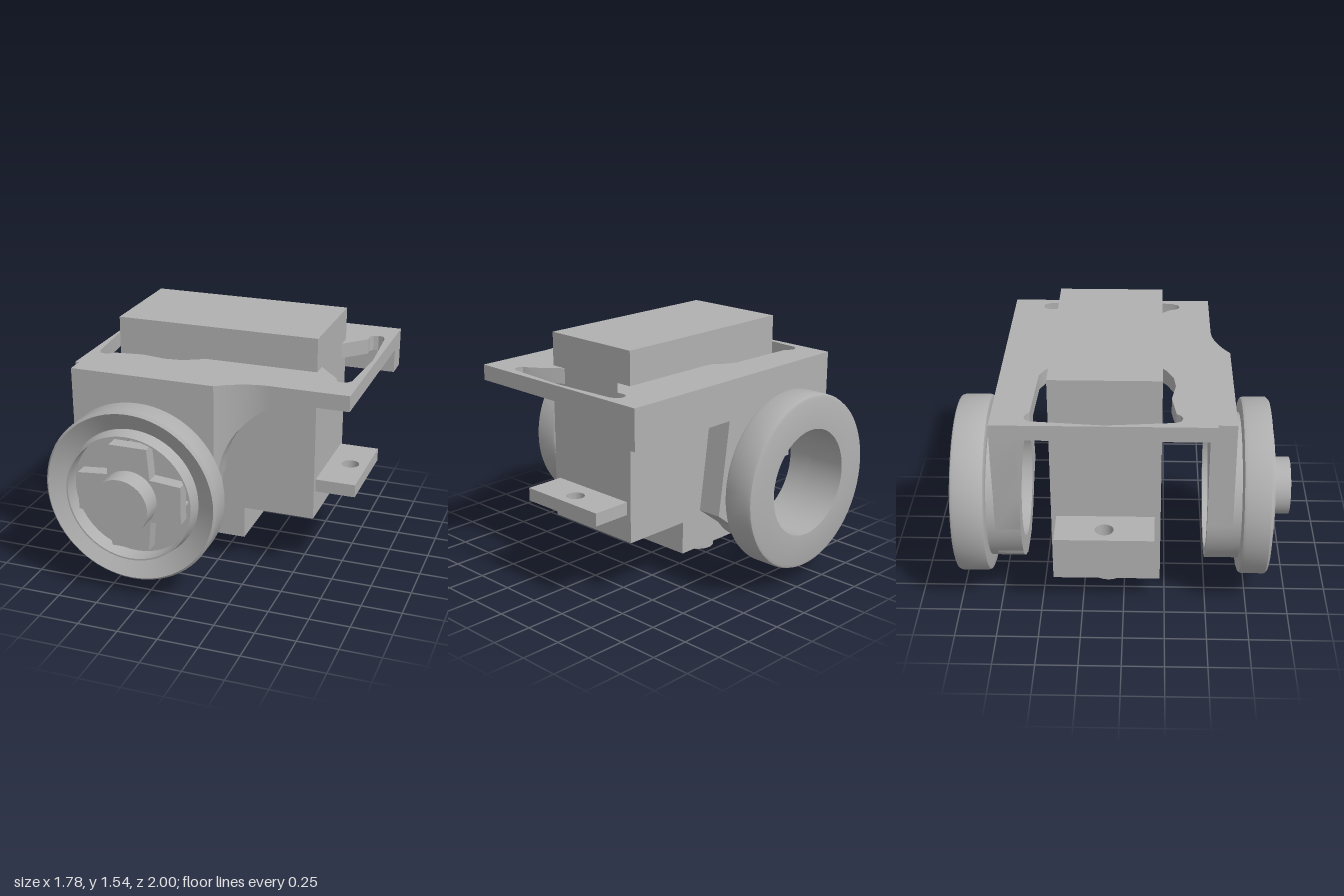
import * as THREE from 'three';
import { toCreasedNormals } from 'three/addons/utils/BufferGeometryUtils.js';

const CX = -0.325, CY = 0.66; // wheel axis

export function createModel() {
  const model = new THREE.Group();
  model.name = 'servoBracket';
  const grey = new THREE.MeshStandardMaterial({ color: 0xb0b0b0 });
  grey.name = 'plain grey';

  const add = (name, geometry) => {
    const mesh = new THREE.Mesh(geometry, grey);
    mesh.name = name;
    model.add(mesh);
    return mesh;
  };
  const box = (name, x0, x1, y0, y1, z0, z1) =>
    add(name, new THREE.BoxGeometry(x1 - x0, y1 - y0, z1 - z0)
      .translate((x0 + x1) / 2, (y0 + y1) / 2, (z0 + z1) / 2));
  const poly = (pts) => pts.map(([x, y]) => new THREE.Vector2(x, y));
  const circle = (x, y, r) => new THREE.Path().absarc(x, y, r, 0, Math.PI * 2, false);
  // Extrusion of an x-y shape between two depths
  const slab = (shape, z0, z1) => toCreasedNormals(
    new THREE.ExtrudeGeometry(shape, { depth: z1 - z0, bevelEnabled: false, curveSegments: 32 })
      .translate(0, 0, z0), 0.5);
  // Extrusion of a plan shape drawn as (x, -z) between two heights
  const plan = (shape, y0, y1) => slab(shape, y0, y1).rotateX(-Math.PI / 2);
  // Turned part around the wheel axis, profile given as [radius, z]
  const turned = (profile) => toCreasedNormals(
    new THREE.LatheGeometry(poly(profile), 72).rotateX(Math.PI / 2).translate(CX, CY, 0), 0.6);

  // Servo case, gearbox step and output shaft
  box('servoBody', -0.645, 0.61, 0.38, 1.54, -0.43, 0.22);
  box('gearbox', -0.645, 0.165, 0.175, 0.38, -0.43, 0.22);
  add('outputShaft', new THREE.CylinderGeometry(0.105, 0.105, 0.18, 40).translate(CX, 0.09, -0.105));

  // Mounting tabs with screw holes
  for (const [name, x0, x1, hx] of [['rightTab', -0.893, -0.645, -0.785], ['leftTab', 0.61, 0.857, 0.75]]) {
    const tab = new THREE.Shape(poly([[x0, -0.185], [x1, -0.185], [x1, 0.4], [x0, 0.4]]));
    tab.holes.push(circle(hx, 0.11, 0.055));
    add(name, plan(tab, 0.55, 0.63));
  }

  // Top plate with relieved corners around the servo opening
  const plate = new THREE.Shape(poly([[-0.8, -0.53], [0.89, -0.53], [0.89, 0.75], [-0.8, 0.75]]));
  const opening = [
    [-0.75, -0.52], [-0.735, -0.547], [-0.7, -0.56], [-0.665, -0.547], [-0.65, -0.53],
    [-0.35, -0.52], [-0.2, -0.515], [-0.13, -0.485], [-0.08, -0.44], [0.61, -0.33],
    [0.745, -0.47], [0.742, -0.525], [0.76, -0.55], [0.79, -0.56], [0.82, -0.55], [0.84, -0.51],
    [0.865, -0.1], [0.84, 0.29], [0.82, 0.325], [0.79, 0.337], [0.76, 0.325], [0.74, 0.275],
    [0.61, 0.12], [0.61, 0.2], [-0.08, 0.21], [-0.13, 0.25], [-0.22, 0.29], [-0.32, 0.3],
    [-0.47, 0.275], [-0.65, 0.3], [-0.67, 0.325], [-0.7, 0.337], [-0.735, 0.325], [-0.75, 0.29],
    [-0.787, -0.1],
  ];
  plate.holes.push(new THREE.Path(poly(opening.map(([x, z]) => [x, -z]))));
  add('topPlate', plan(plate, 1.24, 1.335));

  // Front wall, wrapping round the hub
  const front = new THREE.Shape();
  front.moveTo(-0.775, 1.335);
  front.lineTo(0.12, 1.335);
  front.lineTo(CX + 0.445, CY);
  front.absarc(CX, CY, 0.445, 0, Math.PI, true);
  front.closePath();
  front.holes.push(circle(CX, CY, 0.385));
  add('frontWall', slab(front, 0.49, 0.64));

  // Curved brace: arched underside and a fillet blending into the plate edge
  const brace = new THREE.BoxGeometry(1, 1, 1, 32, 1, 1);
  const p = brace.attributes.position;
  for (let i = 0; i < p.count; i++) {
    const x = 0.12 + 0.51 * (p.getX(i) + 0.5);
    const arch = 0.75 + Math.sqrt(Math.max(0, 0.49 ** 2 - (0.63 - x) ** 2));
    const fillet = 0.53 + 0.11 * (Math.max(0, 0.42 - x) / 0.3) ** 2;
    p.setXYZ(i, x, p.getY(i) > 0 ? 1.335 : arch, p.getZ(i) > 0 ? fillet : 0.49);
  }
  add('frontBrace', toCreasedNormals(brace, 0.5));

  // Front edge strip
  box('frontLip', 0.6, 0.89, 1.24, 1.335, 0.49, 0.53);

  // Back wall with its long top strip and bored support
  const back = new THREE.Shape(poly([
    [-0.8, 1.335], [-0.8, 1.09], [-0.775, 0.85], [-0.77, 0.62], [-0.68, 0.38], [-0.45, 0.22],
    [-0.2, 0.22], [0.2, 0.52], [0.12, 1.09], [0.89, 1.09], [0.89, 1.335],
  ]));
  back.holes.push(circle(CX, CY, 0.33));
  add('backWall', slab(back, -0.75, -0.6));

  // Back bearing ring with neck and through bore
  add('backRing', turned([
    [0.33, -1], [0.515, -1], [0.533, -0.993], [0.54, -0.975], [0.54, -0.825], [0.533, -0.807],
    [0.515, -0.8], [0.445, -0.8], [0.445, -0.6], [0.33, -0.6], [0.33, -1],
  ]));

  // Front hub with dished flange
  add('frontHub', turned([
    [0.385, 0.49], [0.445, 0.49], [0.445, 0.69], [0.515, 0.69], [0.533, 0.697], [0.54, 0.715],
    [0.54, 0.85], [0.525, 0.865], [0.41, 0.8], [0.395, 0.885], [0.385, 0.885], [0.385, 0.49],
  ]));
  const disc = new THREE.Shape().absarc(CX, CY, 0.39, 0, Math.PI * 2, false);
  const cross = [];
  for (let i = 0; i < 4; i++) {
    const a = i * Math.PI / 2, c = Math.cos(a), s = Math.sin(a);
    disc.holes.push(circle(CX + 0.3 * c, CY + 0.3 * s, 0.045));
    for (const [u, v] of [[0.135, -0.135], [0.325, -0.118], [0.325, 0.118]])
      cross.push([CX + u * c - v * s, CY + u * s + v * c]);
  }
  add('hubFloor', slab(disc, 0.7, 0.78));

  // Four-armed horn and its centre boss
  add('horn', slab(new THREE.Shape(poly(cross)), 0.78, 0.865));
  add('hornBoss', new THREE.CylinderGeometry(0.175, 0.175, 0.2, 48)
    .rotateX(Math.PI / 2).translate(CX, CY, 0.9));

  return model;
}
